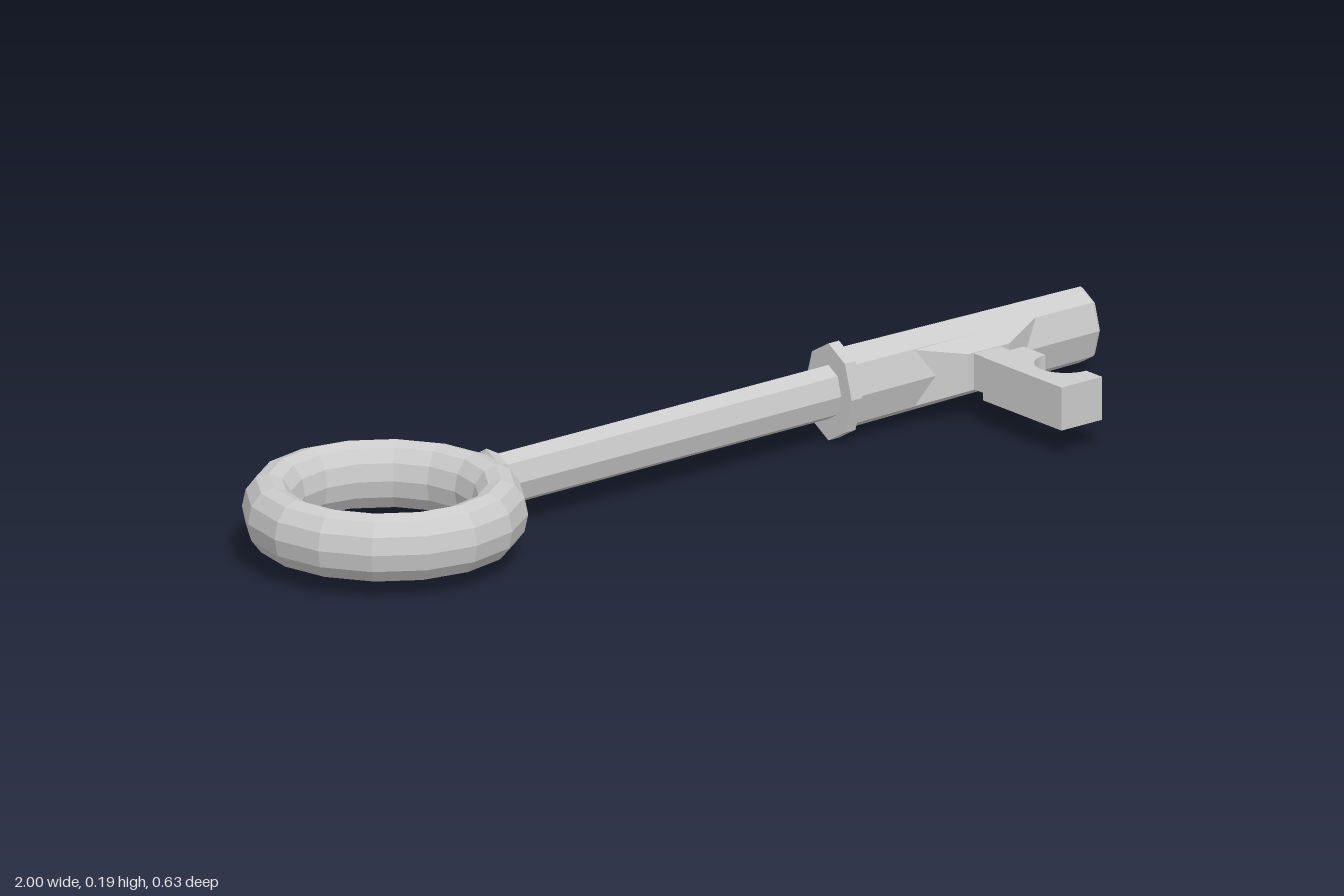
import * as THREE from 'three';

const AXIS_Y = 0.1, AXIS_Z = -0.043;
const material = new THREE.MeshStandardMaterial({ color: 0xcccccc, flatShading: true });

function addMesh(group, name, geometry) {
  const mesh = new THREE.Mesh(geometry, material);
  mesh.name = name;
  group.add(mesh);
  return mesh;
}

// Eight-sided bar along x, narrower in z than in y; profile is [radius, x]
function octagonBar(profile) {
  const points = profile.map(([r, x]) => new THREE.Vector2(r, x));
  return new THREE.LatheGeometry(points, 8)
    .rotateZ(-Math.PI / 2)
    .scale(1, 1, 0.71)
    .translate(0, AXIS_Y, AXIS_Z);
}

// Flat outline in x-z, thickened evenly about the key's axis height
function plate(shape, thickness) {
  return new THREE.ExtrudeGeometry(shape, { depth: thickness, bevelEnabled: false, curveSegments: 16 })
    .rotateX(Math.PI / 2)
    .translate(0, AXIS_Y + thickness / 2, 0);
}

export function createModel() {
  const key = new THREE.Group();
  key.name = 'key';

  // Ring handle: rounded section swept around 16 sides
  const half = [[0.272, 0], [0.265, 0.034], [0.246, 0.059], [0.22, 0.068], [0.196, 0.059], [0.178, 0.034], [0.171, 0]];
  const lower = half.slice(0, -1).reverse().map(([r, y]) => [r, -y]);
  const section = [...half, ...lower].map(([r, y]) => new THREE.Vector2(r, y));
  addMesh(key, 'ringHandle', new THREE.LatheGeometry(section, 16).translate(-0.728, AXIS_Y, -0.045));

  // Thin shaft with a small flare where it meets the ring
  addMesh(key, 'shaft', octagonBar([[0, -0.5], [0.07, -0.48], [0.054, -0.45], [0.054, 0.37]]));

  // Collar between shaft and barrel
  addMesh(key, 'collar', octagonBar([[0, 0.362], [0.097, 0.362], [0.097, 0.388], [0, 0.388]]));

  // Slightly tapering barrel with a shallow pointed end
  addMesh(key, 'barrel', octagonBar([[0.083, 0.38], [0.076, 0.982], [0.072, 0.988], [0, 0.998]]));

  // Flared root joining the barrel to the bit
  const root = new THREE.BoxGeometry(1, 1, 1);
  const pos = root.attributes.position;
  for (let i = 0; i < pos.count; i++) {
    const outer = pos.getZ(i) > 0;
    pos.setXYZ(
      i,
      0.688 + pos.getX(i) * (outer ? 0.1 : 0.3),
      AXIS_Y + pos.getY(i) * (outer ? 0.074 : 0.112),
      outer ? 0.04 : -0.003
    );
  }
  addMesh(key, 'bitRoot', root);

  // Narrow neck
  const neck = addMesh(key, 'bitNeck', new THREE.BoxGeometry(0.064, 0.072, 0.07));
  neck.position.set(0.683, AXIS_Y, 0.06);

  // Bit with a round notch on its tip side
  const bit = new THREE.Shape();
  bit.moveTo(0.636, 0.085);
  bit.lineTo(0.736, 0.085);
  bit.lineTo(0.736, 0.15);
  bit.absarc(0.736, 0.21, 0.06, -Math.PI / 2, -Math.PI * 1.5, true);
  bit.lineTo(0.736, 0.317);
  bit.lineTo(0.636, 0.317);
  bit.closePath();
  addMesh(key, 'bit', plate(bit, 0.086));

  return key;
}
